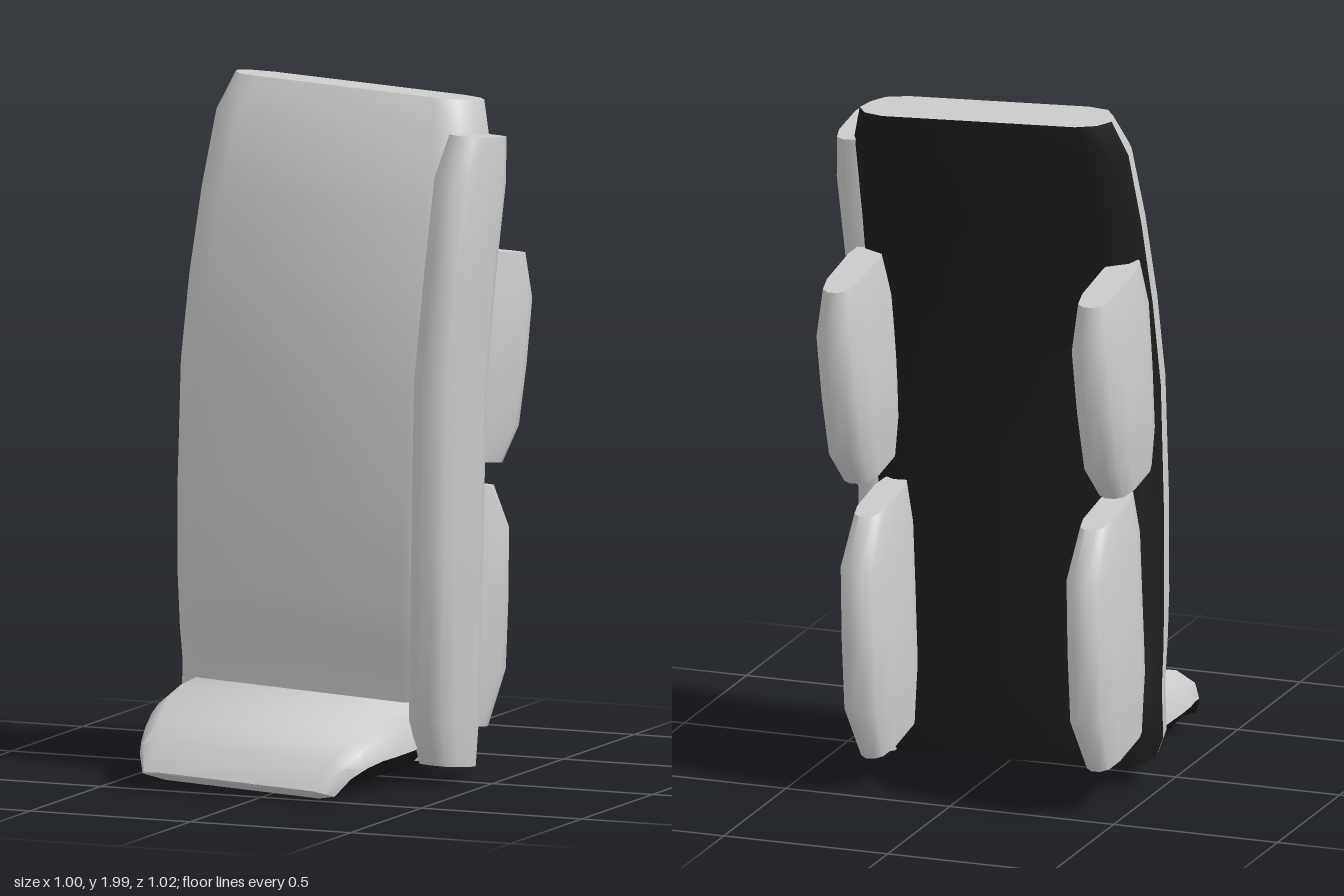
import * as THREE from 'three';
import { toCreasedNormals } from 'three/addons/utils/BufferGeometryUtils.js';

const white = new THREE.MeshStandardMaterial({ color: 0xcccccc });
white.name = 'light grey padding';
const black = new THREE.MeshStandardMaterial({ color: 0x1c1c1c });
black.name = 'black backing';

// Skins closed rings of points; edges from index `split` on are black.
function loft(name, rings, split = Infinity, startBlack = false) {
  const n = rings[0].length;
  const light = [], dark = [];
  const tri = (list, a, b, c) => list.push([a, b, c]);
  for (let i = 0; i < rings.length - 1; i++) {
    for (let j = 0; j < n; j++) {
      const k = (j + 1) % n, list = j < split ? light : dark;
      tri(list, rings[i][j], rings[i][k], rings[i + 1][k]);
      tri(list, rings[i][j], rings[i + 1][k], rings[i + 1][j]);
    }
  }
  const first = rings[0], last = rings[rings.length - 1];
  for (let j = 1; j < n - 1; j++) {
    tri(startBlack ? dark : light, first[0], first[j + 1], first[j]);
    tri(light, last[0], last[j], last[j + 1]);
  }
  // Turn the faces outward
  const all = [...light, ...dark];
  const volume = all.reduce((s, [a, b, c]) => s + a.dot(b.clone().cross(c)), 0);
  const pos = all.flatMap(([a, b, c]) => (volume > 0 ? [a, b, c] : [a, c, b]).flatMap(p => p.toArray()));
  const geo = new THREE.BufferGeometry();
  geo.setAttribute('position', new THREE.Float32BufferAttribute(pos, 3));
  geo.addGroup(0, light.length * 3, 0);
  geo.addGroup(light.length * 3, dark.length * 3, 1);
  const mesh = new THREE.Mesh(toCreasedNormals(geo, 0.85), [white, black]);
  mesh.name = name;
  return mesh;
}

const V = (x, y, z) => new THREE.Vector3(x, y, z);
const CX = -0.08; // centre line of the main pad

// Upright cushion with chamfered section; rows are [y, halfWidth, zFront, zBack]
function cushion(name, cx, tilt, rows) {
  const rings = rows.map(([y, w, zf, zb]) => {
    const d = zf - zb;
    return [
      [-w, zb + 0.25 * d], [-w, zf - 0.25 * d], [-0.75 * w, zf - 0.07 * d], [-0.3 * w, zf],
      [0.3 * w, zf], [0.75 * w, zf - 0.07 * d], [w, zf - 0.25 * d], [w, zb + 0.25 * d],
      [0.75 * w, zb + 0.06 * d], [0.3 * w, zb], [-0.3 * w, zb], [-0.75 * w, zb + 0.06 * d],
    ].map(([x, z]) => V(cx + x, y + tilt * z, z));
  });
  return loft(name, rings);
}

export function createModel() {
  const model = new THREE.Group();
  model.name = 'legPad';

  // Main pad: light front and sides, black back
  const padRows = [
    [0.07, 0.4, 0.05, -0.18], [0.13, 0.425, 0.05, -0.178], [0.27, 0.425, 0.055, -0.17],
    [0.38, 0.428, 0.09, -0.16], [0.52, 0.432, 0.118, -0.152], [0.8, 0.438, 0.138, -0.135],
    [1.15, 0.44, 0.145, -0.112], [1.4, 0.437, 0.118, -0.135], [1.65, 0.43, 0.07, -0.17],
    [1.87, 0.42, 0.005, -0.21], [1.98, 0.385, -0.055, -0.222],
  ];
  const padRings = padRows.map(([y, w, zf, zb]) => {
    const d = zf - zb, zs = zb + 0.36 * d;
    const half = [[w, zs], [w - 0.015, zs + 0.3 * d], [w - 0.045, zf - 0.1 * d], [w - 0.11, zf]];
    const back = [[-w + 0.03, zb + 0.12 * d], [-w + 0.09, zb], [w - 0.09, zb], [w - 0.03, zb + 0.12 * d]];
    const front = [...half, ...half.slice().reverse().map(([x, z]) => [-x, z])];
    return [...front, ...back].map(([x, z]) => V(CX + x, y + 0.08 * (z + 0.06), z));
  });
  model.add(loft('mainPad', padRings, 7, true));

  // Toe flap: rows are [z, halfWidth, yTop, ySide, yBottom, zBottom]
  const toeRows = [
    [-0.02, 0.39, 0.25, 0.13, 0.06, -0.02], [0.16, 0.388, 0.24, 0.125, 0.06, 0.16],
    [0.24, 0.382, 0.228, 0.122, 0.06, 0.24], [0.31, 0.37, 0.207, 0.118, 0.055, 0.3],
    [0.39, 0.353, 0.172, 0.105, 0.046, 0.37], [0.46, 0.33, 0.128, 0.08, 0.033, 0.42],
    [0.51, 0.3, 0.045, 0.032, 0.016, 0.455],
  ];
  const toeRings = toeRows.map(([z, w, yt, ys, yb, zb]) => {
    const ym = ys + 0.65 * (yt - ys), zm = (z + zb) / 2;
    return [
      V(w, ys, zm), V(w - 0.015, ym, z), V(w - 0.055, yt, z),
      V(-w + 0.055, yt, z), V(-w + 0.015, ym, z), V(-w, ys, zm),
      V(-w + 0.06, yb, zb), V(w - 0.06, yb, zb),
    ].map(p => p.add(V(CX, 0, 0)));
  });
  model.add(loft('toeFlap', toeRings, 5, true));

  // Long roll along the outer edge
  model.add(cushion('sideRoll', 0.347, 0.13, [
    [0.07, 0.055, 0.1, -0.145], [0.2, 0.067, 0.175, -0.135], [0.7, 0.068, 0.215, -0.108],
    [1.18, 0.068, 0.25, -0.08], [1.5, 0.068, 0.212, -0.11],
    [1.77, 0.068, 0.17, -0.15], [1.895, 0.05, 0.105, -0.165],
  ]));

  // Pairs of rear rolls
  for (const [side, s] of [['left', 1], ['right', -1]]) {
    model.add(cushion(side + 'UpperRearRoll', CX + s * 0.39, 0.15, [
      [0.95, 0.05, -0.07, -0.33], [1.06, 0.068, -0.06, -0.41], [1.24, 0.072, -0.06, -0.44],
      [1.43, 0.07, -0.06, -0.463], [1.56, 0.05, -0.08, -0.43],
    ]));
    model.add(cushion(side + 'LowerRearRoll', CX + s * 0.345, 0.15, [
      [0.18, 0.045, -0.11, -0.43], [0.35, 0.064, -0.1, -0.512], [0.55, 0.066, -0.1, -0.503],
      [0.76, 0.064, -0.09, -0.487], [0.88, 0.045, -0.1, -0.39],
    ]));
  }

  // Slight sideways lean of the whole pad
  model.rotation.z = -0.05;
  const group = new THREE.Group();
  group.name = 'leaningPad';
  group.add(model);
  return group;
}
